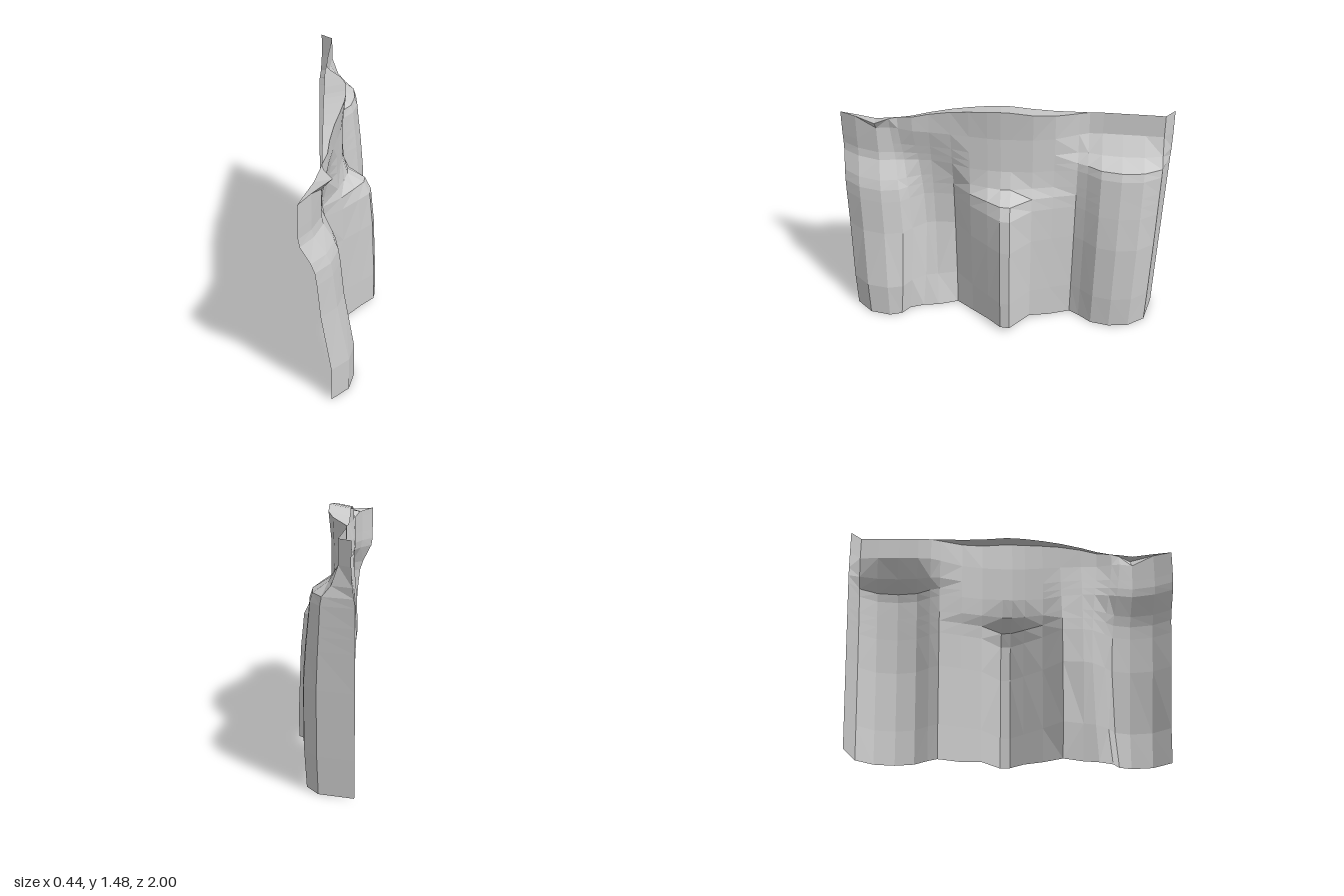
import * as THREE from 'three';

// Cross-sections seen from above, from the front end (+z) to the back end (-z):
// z positions, depth x at the foot, and depth x of the bare wall above the buttresses
const front = {
  z: [1, 0.9, 0.77, 0.69, 0.64, 0.55, 0.45, 0.32],
  foot: [-0.05, 0.05, 0.08, 0.06, 0, -0.03, -0.04, -0.08],
  top: [-0.22, -0.15, -0.1, -0.11, -0.1, -0.07, -0.06, -0.04],
  rise: [0, 0, 0.33, 0.44, 0.5, 0.62, 0.95],
};
const middle = {
  z: [0.21, 0.1, 0.02, -0.04, -0.17, -0.3],
  foot: [0.02, 0.13, 0.21, 0.22, 0.07, 0.03],
  top: [-0.02, 0, 0.01, 0.01, 0.01, -0.01],
  rise: [0, 0, 0.07, 0.17, 0.35, 0.85],
};
const back = {
  z: [-0.44, -0.5, -0.58, -0.7, -0.83, -0.94, -1],
  foot: [-0.01, 0.03, 0.1, 0.13, 0.12, 0.05, -0.15],
  top: [-0.07, -0.09, -0.09, -0.08, -0.07, -0.06, -0.13],
  rise: [0, -0.07, -0.08, 0, 0.04, 0.07, 0.12, 0.2, 0.65],
};
// Heights of the rows; "rise" is how far each buttress has receded into the wall there
const heights = [0, 0.22, 0.6, 0.82, 0.9, 0.96, 1.07, 1.12, 1.18, 1.29];

const stations = [front, middle, back].flatMap(({ z, foot, top, rise }) =>
  z.map((v, i) => ({ z: v, foot: foot[i], top: top[i], rise })));

const bump = (z, centre, width) => Math.exp(-Math.pow((z - centre) / width, 4));

// Crest height: climbs to a peak at mid-length, then levels off
const crestY = (z) => {
  if (z > 0.6) return 1.37 - 0.1 * (z - 0.6);
  return z > 0.05 ? 1.48 - 0.11 * Math.pow((z - 0.05) / 0.55, 1.5) : Math.max(1.43, 1.485 - 0.12 * Math.abs(z));
};

// The ends lean outward slightly with height
const point = (x, y, z) => new THREE.Vector3(x, y, z * (0.96 + 0.04 * Math.min(1, y / 1.2)));

const wallRow = (y, i) => stations.map(({ z, foot, top, rise }) => {
  // Hollow between the front and middle buttresses, with a bowed edge
  const bow = Math.sin(Math.PI * y / 1.29);
  const hollow = 0.085 * bow * bump(z, 0.45, 0.17);
  const x = THREE.MathUtils.lerp(foot, top, rise[i] ?? 1) - hollow;
  // The foot lifts a little under the middle buttress
  const rowY = i === 0 ? 0.03 * bump(z, 0, 0.2) : y;
  return point(x, rowY, z - 0.05 * bow * bump(z, 0.62, 0.13));
});

// Faceted sheet through rows of points, split along each cell's shorter diagonal
function sheet(name, rows) {
  const pts = [];
  for (let i = 0; i < rows.length - 1; i++) {
    for (let j = 0; j < stations.length - 1; j++) {
      const a = rows[i][j], b = rows[i][j + 1], c = rows[i + 1][j + 1], d = rows[i + 1][j];
      const tris = a.distanceTo(c) < b.distanceTo(d) ? [[a, b, c], [a, c, d]] : [[a, b, d], [b, c, d]];
      for (const t of tris) {
        if (new THREE.Triangle(...t).getArea() > 1e-6) pts.push(...t);
      }
    }
  }
  const geo = new THREE.BufferGeometry().setFromPoints(pts);
  geo.computeVertexNormals();
  const mesh = new THREE.Mesh(geo, new THREE.MeshStandardMaterial({
    color: 0xcccccc, flatShading: true, side: THREE.DoubleSide,
  }));
  mesh.name = name;
  return mesh;
}

export function createModel() {
  const group = new THREE.Group();
  group.name = 'cliff';

  // Rock face with three buttresses; its crest juts out at the peak and above the front buttress
  const crest = stations.map(({ z, top }) =>
    point(top + 0.02 * bump(z, 0, 0.3) + 0.06 * bump(z, 0.77, 0.08), crestY(z), z));
  group.add(sheet('rockFace', [...heights.map(wallRow), crest]));

  // Narrow ledge sloping back from the crest
  const ledge = crest.map(({ x, y, z }) => {
    const rear = Math.min(x, -0.1 - 0.34 * Math.max(0, z - 0.65));
    return new THREE.Vector3(z < -0.47 ? x : rear, z < -0.47 ? y : y - 0.2 * (x - rear), z);
  });
  group.add(sheet('topLedge', [crest, ledge]));

  return group;
}
